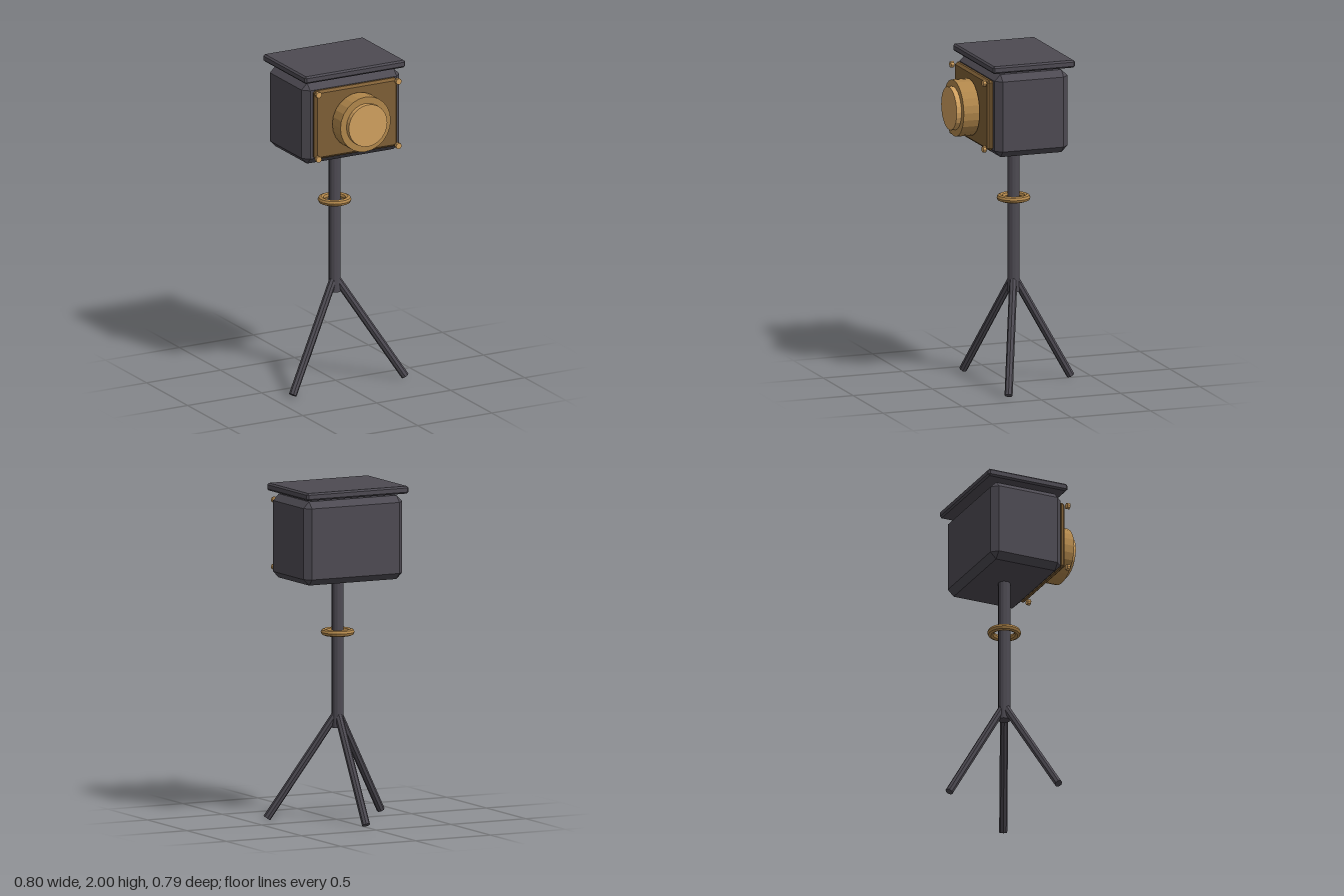
import * as THREE from 'three';
import { ConvexGeometry } from 'three/addons/geometries/ConvexGeometry.js';

const paint = (name, color) => {
  const m = new THREE.MeshStandardMaterial({ color, flatShading: true });
  m.name = name;
  return m;
};

// Box with single flat bevels on every edge and corner
function chamferBox(w, h, d, c) {
  const points = [];
  for (const x of [-w / 2, w / 2]) for (const y of [-h / 2, h / 2]) for (const z of [-d / 2, d / 2]) {
    const ix = x - Math.sign(x) * c, iy = y - Math.sign(y) * c, iz = z - Math.sign(z) * c;
    points.push(new THREE.Vector3(x, iy, iz), new THREE.Vector3(ix, y, iz), new THREE.Vector3(ix, iy, z));
  }
  return new ConvexGeometry(points);
}

// Cylinder running from a to b
function rod(a, b, radius, sides, start = 0) {
  const dir = new THREE.Vector3().subVectors(b, a);
  const g = new THREE.CylinderGeometry(radius, radius, dir.length(), sides, 1, false, start);
  g.applyQuaternion(new THREE.Quaternion().setFromUnitVectors(new THREE.Vector3(0, 1, 0), dir.clone().normalize()));
  const mid = a.clone().add(b).multiplyScalar(0.5);
  return g.translate(mid.x, mid.y, mid.z);
}

export function createModel() {
  const group = new THREE.Group();
  group.name = 'tripodCamera';
  const charcoal = paint('charcoal', 0x4d4a52);
  const darkBrass = paint('darkBrass', 0x7d5e35);
  const brass = paint('brass', 0xb0864b);
  const paleBrass = paint('paleBrass', 0xcf9f5e);
  const v = (x, y, z) => new THREE.Vector3(x, y, z);
  const add = (name, geometry, material, x = 0, y = 0, z = 0) => {
    const mesh = new THREE.Mesh(geometry, material);
    mesh.name = name;
    mesh.position.set(x, y, z);
    group.add(mesh);
  };
  const axisZ = -0.0125; // tripod axis

  // Camera box and the floating cover above it
  add('cameraBody', chamferBox(0.66, 0.5, 0.46, 0.038), charcoal, 0, 1.69, axisZ);
  add('topCover', chamferBox(0.68, 0.045, 0.518, 0.01), charcoal, 0, 1.9775, -0.016);

  // Front plate, lens and corner screws
  add('frontPlate', chamferBox(0.56, 0.424, 0.042, 0.014), darkBrass, 0, 1.692, 0.235);
  add('lensBarrel', rod(v(0, 1.69, 0.265), v(0, 1.69, 0.365), 0.17, 24), brass);
  add('lensFront', rod(v(0, 1.69, 0.355), v(0, 1.69, 0.395), 0.13, 24), paleBrass);
  for (const x of [-0.27, 0.27]) for (const y of [1.49, 1.89])
    add('cornerScrew', rod(v(x, y, 0.265), v(x, y, 0.285), 0.019, 8), paleBrass);

  // Column with its brass ring
  add('column', rod(v(0, 0.55, axisZ), v(0, 1.45, axisZ), 0.036, 12), charcoal);
  add('columnRing', new THREE.TorusGeometry(0.08, 0.02, 8, 24).rotateX(Math.PI / 2), brass, 0, 1.12, axisZ);

  // Three splayed legs
  for (const [x, z] of [[0.38, 0.162], [-0.38, 0.162], [0, -0.373]])
    add('leg', rod(v(x, 0.012, z), v(0, 0.645, axisZ), 0.024, 8, Math.PI / 8), charcoal);

  return group;
}
